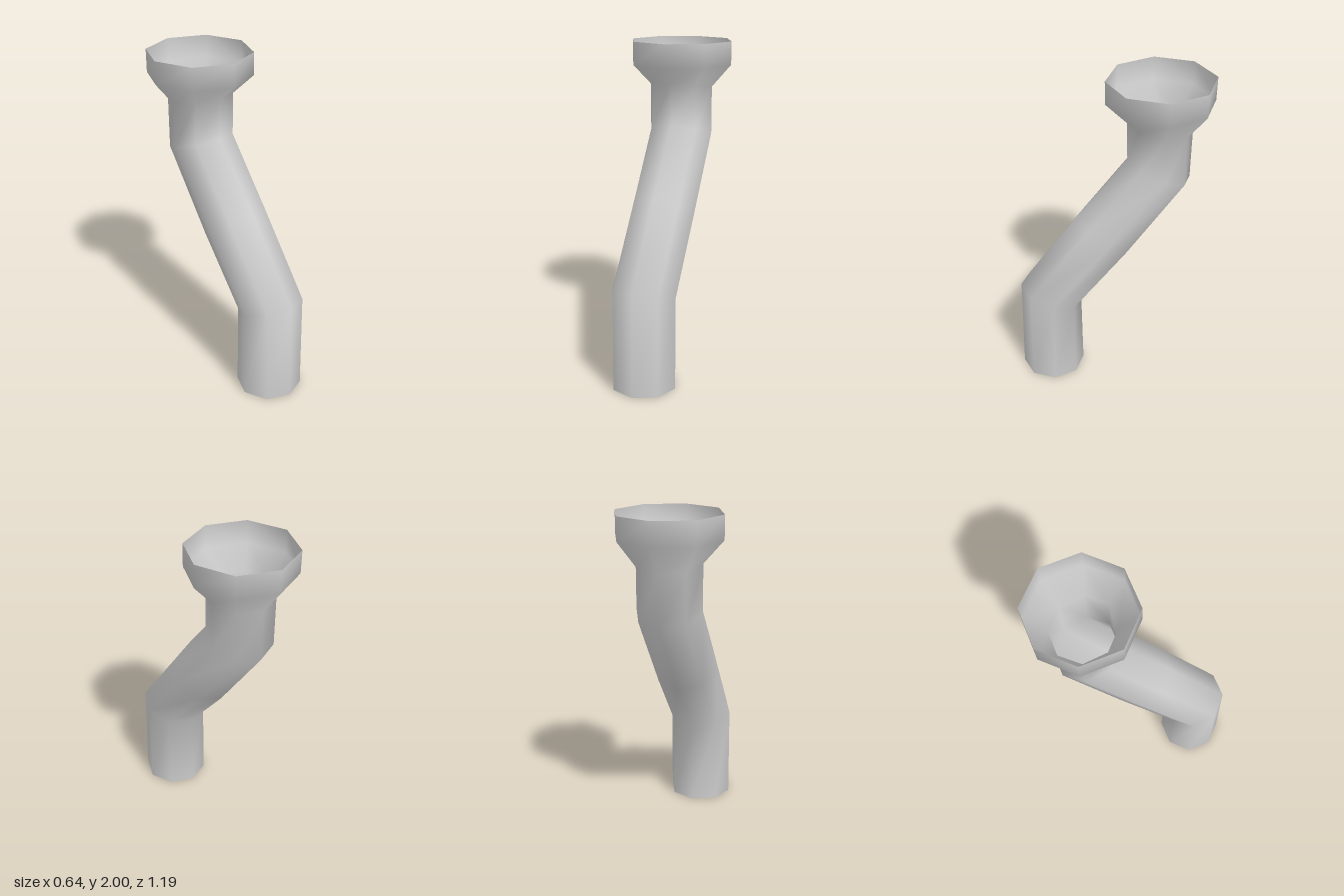
import * as THREE from 'three';

const SIDES = 8;

// Each ring: front z, front y, back z, back y, half width in x
const RINGS = [
  [0.595, 0, 0.2, 0, 0.2],
  [0.582, 0.637, 0.205, 0.512, 0.2],
  [0.22, 1.12, -0.11, 0.89, 0.2],
  [-0.085, 1.5, -0.46, 1.37, 0.2],
  [-0.08, 1.755, -0.466, 1.69, 0.2],
  [0.045, 1.86, -0.59, 1.86, 0.32],
  [0.045, 2, -0.593, 2, 0.32],
];

// Skin a run of tilted octagonal rings into an open, smooth-shaded pipe
function pipeGeometry(rings) {
  const positions = [];
  const indices = [];
  rings.forEach(([zf, yf, zb, yb, r], j) => {
    for (let i = 0; i < SIDES; i++) {
      const a = (i / SIDES) * Math.PI * 2;
      const c = Math.cos(a);
      positions.push(
        Math.sin(a) * r,
        (yf + yb) / 2 + (c * (yf - yb)) / 2,
        (zf + zb) / 2 + (c * (zf - zb)) / 2
      );
      if (j === 0) continue;
      const n = (i + 1) % SIDES;
      const lo = (j - 1) * SIDES;
      const hi = j * SIDES;
      indices.push(lo + i, lo + n, hi + n, lo + i, hi + n, hi + i);
    }
  });
  const g = new THREE.BufferGeometry();
  g.setAttribute('position', new THREE.Float32BufferAttribute(positions, 3));
  g.setIndex(indices);
  g.computeVertexNormals();
  return g;
}

export function createModel() {
  const group = new THREE.Group();
  group.name = 'bentPipe';

  const metal = new THREE.MeshStandardMaterial({ color: 0xcccccc, side: THREE.DoubleSide });
  metal.name = 'light grey metal';

  // Offset pipe flaring into a wide socket, open at both ends
  const pipe = new THREE.Mesh(pipeGeometry(RINGS), metal);
  pipe.name = 'pipeWithSocket';
  group.add(pipe);

  return group;
}
